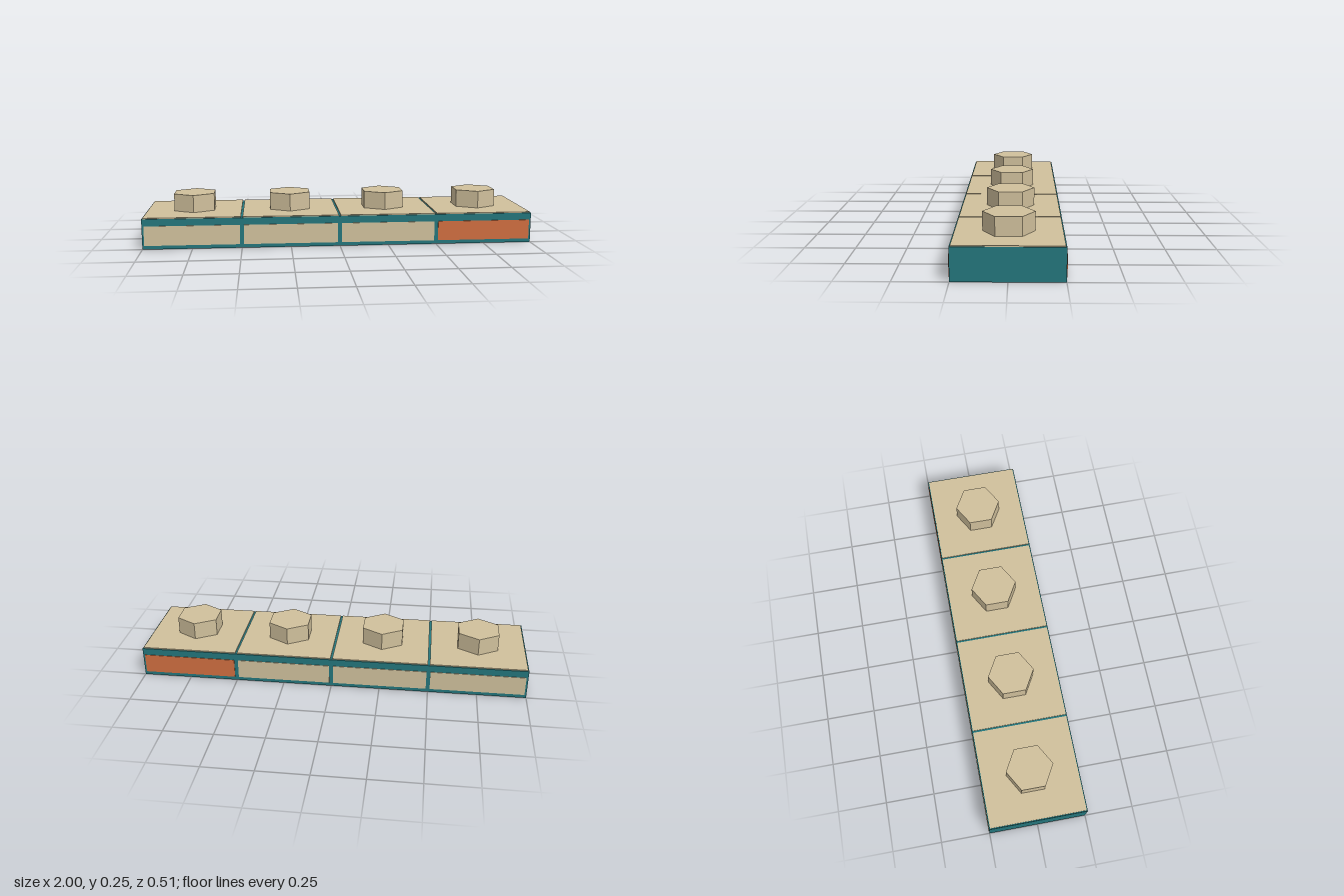
import * as THREE from 'three';

const HEIGHT = 0.155, SOCKET_DEPTH = 0.1, DEPTH = 0.5, CELL = 0.5;
const CENTRES = [-0.75, -0.25, 0.25, 0.75];

const material = (color) => new THREE.MeshStandardMaterial({ color, flatShading: true });

// Hexagonal outline with its points along the depth axis
function hexagon(cx, radius) {
  const path = new THREE.Path();
  path.setFromPoints(Array.from({ length: 6 }, (_, i) => {
    const a = -i * Math.PI / 3;
    return new THREE.Vector2(cx + Math.sin(a) * radius, Math.cos(a) * radius);
  }));
  path.closePath();
  return path;
}

export function createModel() {
  const model = new THREE.Group();
  const teal = material(0x24767c);
  const cream = material(0xd0c09c);
  const orange = material(0xd06e40);

  const add = (parent, name, geometry, mat, x, y, z) => {
    const mesh = new THREE.Mesh(geometry, mat);
    mesh.name = name;
    mesh.position.set(x, y, z);
    parent.add(mesh);
  };

  // Body: a lower layer pierced by the sockets, closed by a solid upper layer
  const body = new THREE.Group();
  body.name = 'body';
  model.add(body);
  const w = CELL * 2, d = DEPTH / 2;
  const outline = new THREE.Shape([
    new THREE.Vector2(-w, -d), new THREE.Vector2(w, -d),
    new THREE.Vector2(w, d), new THREE.Vector2(-w, d),
  ]);
  outline.holes = CENTRES.map((x) => hexagon(x, 0.146));
  const lower = new THREE.ExtrudeGeometry(outline, { depth: SOCKET_DEPTH, bevelEnabled: false });
  lower.rotateX(-Math.PI / 2);
  add(body, 'socketLayer', lower, teal, 0, 0, 0);
  const upperHeight = HEIGHT - SOCKET_DEPTH;
  add(body, 'upperLayer', new THREE.BoxGeometry(2 * w, upperHeight, DEPTH), teal,
    0, SOCKET_DEPTH + upperHeight / 2, 0);

  // Each cell: top plate, hexagonal peg and a panel on either long side
  const plate = new THREE.BoxGeometry(0.49, 0.01, 0.49);
  const peg = new THREE.CylinderGeometry(0.12, 0.12, 0.09, 6);
  const panel = new THREE.BoxGeometry(0.48, 0.1, 0.01);
  CENTRES.forEach((x, i) => {
    const cell = new THREE.Group();
    cell.name = `cell${i + 1}`;
    cell.position.x = x;
    model.add(cell);
    const panelColor = i === 3 ? orange : cream;
    add(cell, 'topPlate', plate, cream, 0, 0.155, 0);
    add(cell, 'hexPeg', peg, cream, 0, 0.205, 0);
    add(cell, 'frontPanel', panel, panelColor, 0, 0.069, d - 0.002);
    add(cell, 'backPanel', panel, panelColor, 0, 0.069, -d + 0.002);
  });

  return model;
}
